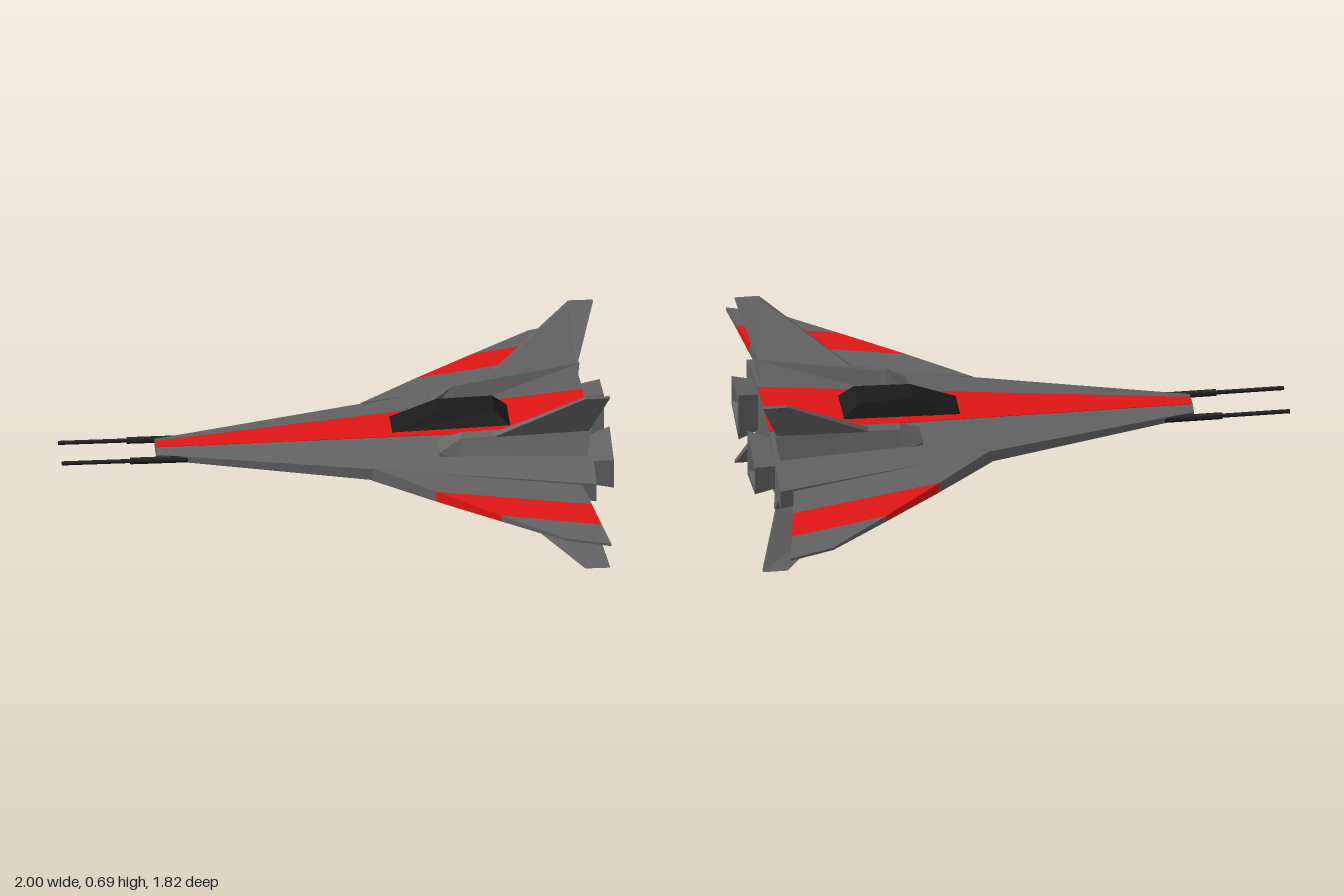
import * as THREE from 'three';

const MID = 0.345; // height of the symmetry plane
const mat = (color) => new THREE.MeshStandardMaterial({
  color, roughness: 0.8, flatShading: true, side: THREE.DoubleSide,
});

// Closed solid through rings of [x, y, z]; y is measured from the mid plane.
function loft(rings) {
  const n = rings[0].length, tris = [];
  const quad = (a, b, c, d) => tris.push([a, b, c], [a, c, d]);
  for (let r = 0; r < rings.length - 1; r++) {
    const p = rings[r], q = rings[r + 1];
    for (let i = 0; i < n; i++) {
      const j = (i + 1) % n;
      quad(p[i], p[j], q[j], q[i]);
    }
  }
  const first = rings[0], last = rings[rings.length - 1];
  for (let i = 1; i < n - 1; i++) {
    tris.push([first[0], first[i + 1], first[i]], [last[0], last[i], last[i + 1]]);
  }
  // Turn all faces outward according to the signed volume
  let volume = 0;
  const v = (p) => new THREE.Vector3(...p);
  for (const [a, b, c] of tris) volume += v(a).dot(v(b).cross(v(c)));
  if (volume < 0) tris.forEach((t) => t.reverse());
  const geo = new THREE.BufferGeometry();
  geo.setAttribute('position', new THREE.Float32BufferAttribute(tris.flat(2), 3));
  geo.computeVertexNormals();
  return geo;
}

// Mirror rings across the mid plane (sy) and the centre line (sz)
const flip = (rings, sy, sz) => rings.map((r) => r.map(([x, y, z]) => [x, y * sy, z * sz]));

export function createModel() {
  const ship = new THREE.Group();
  ship.name = 'spacecraft';
  const grey = mat(0x626262), red = mat(0xe01515), black = mat(0x1a1a1a);
  const add = (name, geo, material) => {
    const mesh = new THREE.Mesh(geo, material);
    mesh.name = name;
    mesh.position.y = MID;
    ship.add(mesh);
    return mesh;
  };

  // Hull: flattened octagon widening from nose to stern
  const hullRing = (x, flat, top, wide, edge) => [
    [x, top, -flat], [x, top, flat], [x, edge, wide], [x, -edge, wide],
    [x, -top, flat], [x, -top, -flat], [x, -edge, -wide], [x, edge, -wide],
  ];
  add('hull', loft([
    hullRing(-0.65, 0.025, 0.02, 0.065, 0.01),
    hullRing(0.925, 0.16, 0.103, 0.48, 0.035),
  ]), grey);

  // Red spine panels above and below
  const panelRing = (x, w, h) => [[x, h, -w], [x, h, w], [x, h - 0.01, w], [x, h - 0.01, -w]];
  for (const sy of [1, -1]) {
    const rings = [panelRing(-0.649, 0.025, 0.0217), panelRing(0.924, 0.16, 0.1047)];
    add(sy > 0 ? 'topSpinePanel' : 'bottomSpinePanel', loft(flip(rings, sy, 1)), red);
  }

  // Canopy
  add('canopy', loft([
    [[0.21, 0.06, -0.065], [0.21, 0.06, 0.065], [0.64, 0.08, 0.085], [0.64, 0.08, -0.085]],
    [[0.21, 0.068, -0.065], [0.21, 0.068, 0.065], [0.64, 0.09, 0.085], [0.64, 0.09, -0.085]],
    [[0.38, 0.14, -0.05], [0.38, 0.14, 0.05], [0.585, 0.14, 0.062], [0.585, 0.14, -0.062]],
  ]), black);

  // Wing stations: leading x, z, trailing x, z, half thickness
  const stations = [
    [0.12, 0.265, 0.875, 0.465, 0.026],
    [0.34, 0.467, 0.897, 0.613, 0.02],
    [0.56, 0.662, 0.921, 0.765, 0.012],
    [0.78, 0.852, 0.945, 0.91, 0.005],
  ].map(([lx, lz, tx, tz, h]) => [[lx, h, lz], [tx, h, tz], [tx, -h, tz], [lx, -h, lz]]);

  // Fin root pod and fin blade, upper left set
  const pod = [
    [[0.37, 0.04, 0.155], [0.37, 0.077, 0.155], [0.37, 0.062, 0.235], [0.37, 0.03, 0.235]],
    [[0.45, 0.04, 0.155], [0.45, 0.12, 0.187], [0.45, 0.112, 0.222], [0.45, 0.03, 0.255]],
    [[0.9, 0.05, 0.175], [0.92, 0.165, 0.252], [0.92, 0.155, 0.285], [0.9, 0.04, 0.325]],
  ];
  const fin = [
    [[0.55, 0.115, 0.205], [0.55, 0.108, 0.23], [0.91, 0.145, 0.277], [0.91, 0.152, 0.247]],
    [[0.89, 0.345, 0.387], [0.89, 0.345, 0.405], [0.98, 0.345, 0.405], [0.98, 0.345, 0.387]],
  ];

  // Engine outlet outlines, seen from behind: inner z, outer z, half heights there
  const outlet = (x, zi, zo, hi, ho) => [[x, hi, zi], [x, ho, zo], [x, -ho, zo], [x, -hi, zi]];

  for (const sz of [1, -1]) {
    const side = sz > 0 ? 'left' : 'right';

    for (let i = 0; i < 3; i++) {
      const name = side + ['WingRoot', 'WingStripe', 'WingTip'][i];
      add(name, loft(flip(stations.slice(i, i + 2), 1, sz)), i === 1 ? red : grey);
    }

    for (const sy of [1, -1]) {
      const place = side + (sy > 0 ? 'Upper' : 'Lower');
      add(place + 'FinPod', loft(flip(pod, sy, sz)), grey);
      add(place + 'Fin', loft(flip(fin, sy, sz)), grey);
    }

    // Flared outlet: outside, rim, inner wall, back plate
    add(side + 'EngineOutlet', loft(flip([
      outlet(0.9, 0.165, 0.31, 0.07, 0.045),
      outlet(1.0, 0.128, 0.333, 0.093, 0.056),
      outlet(1.0, 0.155, 0.312, 0.064, 0.04),
      outlet(0.945, 0.172, 0.295, 0.05, 0.03),
    ], 1, sz)), grey);
    add(side + 'EngineGlowPlate', loft(flip([
      outlet(0.94, 0.168, 0.3, 0.053, 0.033),
      outlet(0.955, 0.168, 0.3, 0.053, 0.033),
    ], 1, sz)), black);

    // Nose gun: housing and thin barrel
    for (const [name, x0, x1, r] of [['GunHousing', -0.75, -0.54, 0.013], ['GunBarrel', -1, -0.74, 0.008]]) {
      const geo = new THREE.CylinderGeometry(r, r, x1 - x0, 8).rotateZ(Math.PI / 2);
      add(side + name, geo, black).position.set((x0 + x1) / 2, MID - 0.002, 0.084 * sz);
    }
  }
  return ship;
}
